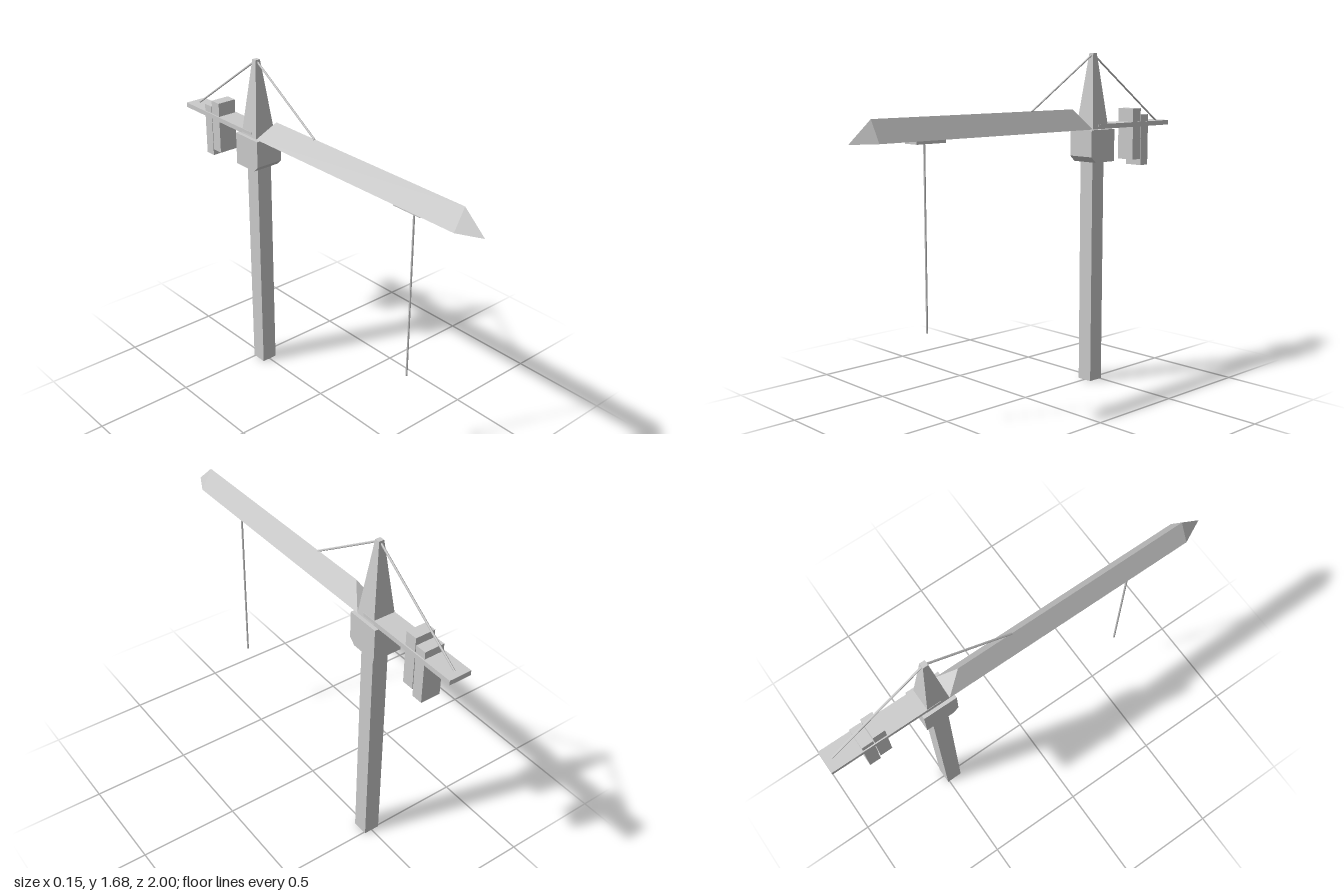
import * as THREE from 'three';

const material = new THREE.MeshStandardMaterial({
  color: 0xcccccc, flatShading: true, side: THREE.DoubleSide,
});
const MAST_Z = -0.467;

function part(name, geometry, x = 0, y = 0, z = 0) {
  const mesh = new THREE.Mesh(geometry, material);
  mesh.name = name;
  mesh.position.set(x, y, z);
  return mesh;
}

// Box given by its width and its y and z extents
function block(name, width, y0, y1, z0, z1) {
  return part(name, new THREE.BoxGeometry(width, y1 - y0, z1 - z0), 0, (y0 + y1) / 2, (z0 + z1) / 2);
}

// Square tapering column, sized by half widths
function column(name, topHalf, bottomHalf, y0, y1, open) {
  const g = new THREE.CylinderGeometry(topHalf * Math.SQRT2, bottomHalf * Math.SQRT2, y1 - y0, 4, 1, open);
  g.rotateY(Math.PI / 4);
  return part(name, g, 0, (y0 + y1) / 2, MAST_Z);
}

// Thin rod between two points in the middle plane, each given as [y, z]
function rod(name, [y0, z0], [y1, z1], radius) {
  const a = new THREE.Vector3(0, y0, z0);
  const b = new THREE.Vector3(0, y1, z1);
  const dir = b.clone().sub(a);
  const mesh = part(name, new THREE.CylinderGeometry(radius, radius, dir.length(), 6));
  mesh.position.copy(a).add(b).multiplyScalar(0.5);
  mesh.quaternion.setFromUnitVectors(new THREE.Vector3(0, 1, 0), dir.normalize());
  return mesh;
}

// Triangular jib with a pointed nose and a sloping rear end
function jibGeometry() {
  const w = 0.057, y0 = 1.304, y1 = 1.405;
  const corners = [
    -w, y0, -0.41, w, y0, -0.41, 0, y1, -0.322, // rear: 0 right, 1 left, 2 ridge
    -w, y0, 0.885, w, y0, 0.885, 0, y1, 0.885,  // front: 3 right, 4 left, 5 ridge
    0, y0, 1,                                   // 6 nose
  ];
  const faces = [
    0, 2, 1,
    0, 3, 5, 0, 5, 2,
    1, 2, 5, 1, 5, 4,
    0, 1, 4, 0, 4, 3,
    3, 4, 6, 3, 6, 5, 4, 5, 6,
  ];
  const g = new THREE.BufferGeometry();
  g.setAttribute('position', new THREE.Float32BufferAttribute(corners, 3));
  g.setIndex(faces);
  const flat = g.toNonIndexed();
  flat.computeVertexNormals();
  return flat;
}

// Slewing housing: side profile with a chamfered lower front edge
function housingGeometry() {
  const width = 0.146;
  const profile = [[0.384, 1.302], [0.552, 1.302], [0.552, 1.139], [0.415, 1.139], [0.384, 1.168]];
  const shape = new THREE.Shape(profile.map(([x, y]) => new THREE.Vector2(x, y)));
  const g = new THREE.ExtrudeGeometry(shape, { depth: width, bevelEnabled: false });
  g.translate(0, 0, -width / 2);
  g.rotateY(Math.PI / 2); // profile x runs towards -z
  return g;
}

export function createModel() {
  const crane = new THREE.Group();
  crane.name = 'towerCrane';

  // Tower
  crane.add(
    column('mast', 0.041, 0.041, 0, 1.14, true),
    part('slewingHousing', housingGeometry()),
    column('towerHead', 0.013, 0.057, 1.304, 1.68, false),
  );

  // Jib and counter-jib
  crane.add(
    part('jib', jibGeometry()),
    block('counterJib', 0.112, 1.304, 1.328, -1, -0.45),
  );

  // Counterweights
  crane.add(
    block('frontCounterweight', 0.1, 1.133, 1.397, -0.782, -0.722),
    block('rearCounterweight', 0.1, 1.1, 1.364, -0.842, -0.786),
  );

  // Tie rods
  crane.add(
    rod('jibTie', [1.675, MAST_Z], [1.403, -0.042], 0.005),
    rod('counterJibTie', [1.675, MAST_Z], [1.325, -0.966], 0.005),
  );

  // Trolley and hoist cable
  crane.add(
    block('trolley', 0.084, 1.289, 1.304, 0.52, 0.68),
    rod('hoistCable', [0.438, 0.607], [1.29, 0.607], 0.005),
  );

  return crane;
}
